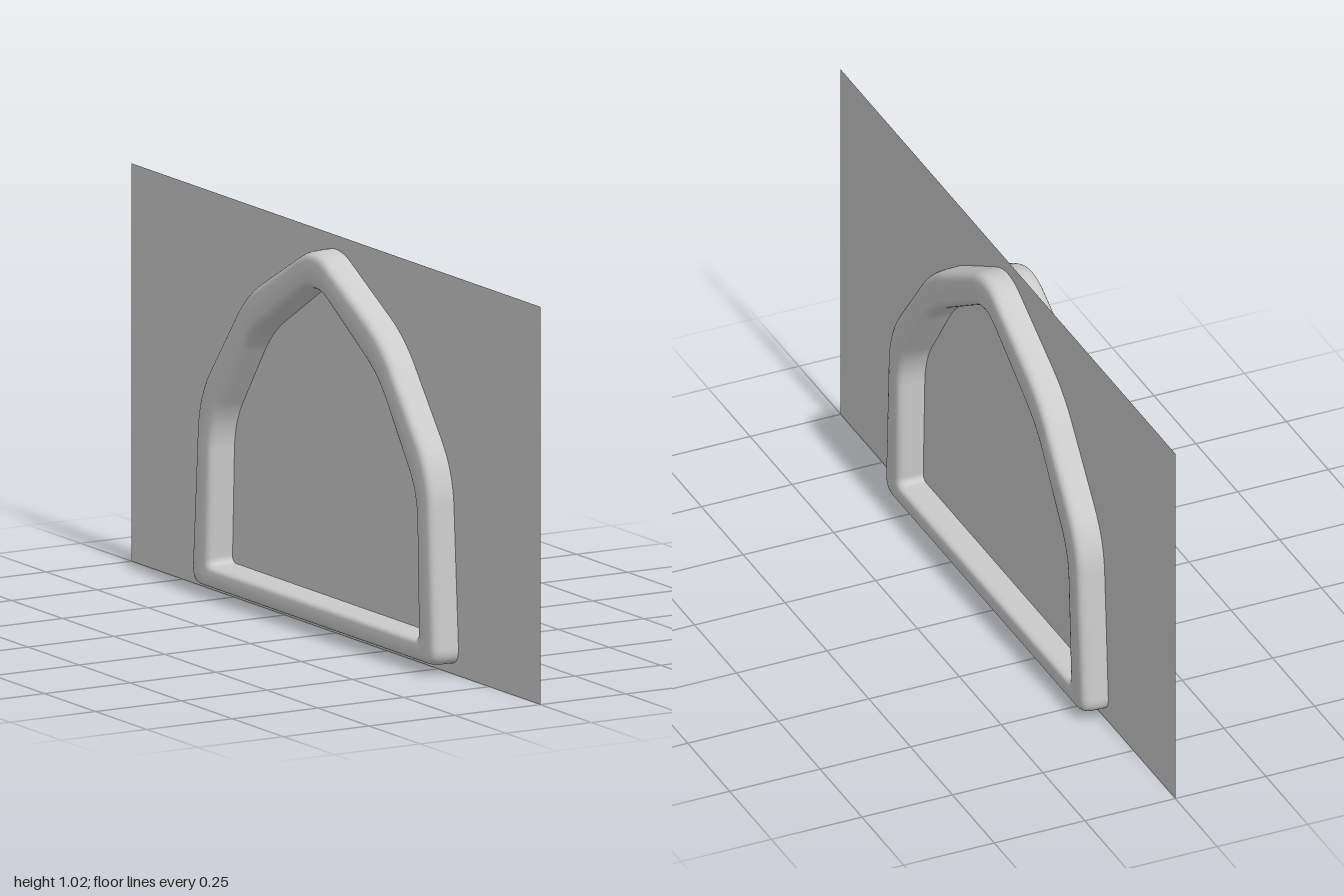
import * as THREE from 'three';

// Half outline corners as [z, y, rounding], from the bottom corner to the peak
const OUTER = [[0.602, 0.026, 0.045], [0.572, 0.52, 0.09], [0.335, 0.82, 0.08], [0, 1.003, 0.08]];
const INNER = [[0.507, 0.088, 0.02], [0.495, 0.45, 0.07], [0.31, 0.715, 0.07], [0, 0.906, 0.08]];
const ARC = 8; // steps per rounded corner
const SECTION = 32; // points around the bar
const HALF_DEPTH = 0.07;

// Mirror the half outline and round every corner with a quadratic curve
function roundedLoop(half) {
  const corners = [...half, ...half.slice(0, -1).reverse().map(([z, y, r]) => [-z, y, r])];
  const at = (i) => new THREE.Vector2(...corners[(i + corners.length) % corners.length].slice(0, 2));
  return corners.flatMap(([, , r], i) => {
    const p = at(i);
    const towards = (q) => q.sub(p).setLength(r).add(p);
    return new THREE.QuadraticBezierCurve(towards(at(i - 1)), p, towards(at(i + 1))).getPoints(ARC);
  });
}

// Sweep a soft rectangular section between the inner and outer loops
function frameGeometry() {
  const outer = roundedLoop(OUTER);
  const inner = roundedLoop(INNER);
  const n = outer.length;
  const soft = (v) => Math.sign(v) * Math.pow(Math.abs(v), 0.44);
  const positions = [];
  const indices = [];
  for (let i = 0; i < n; i++) {
    for (let j = 0; j < SECTION; j++) {
      const a = (j / SECTION) * Math.PI * 2;
      const p = inner[i].clone().lerp(outer[i], (1 + soft(Math.cos(a))) / 2);
      // slight sideways bow at mid height
      const bow = 0.003 * Math.sin(p.y * Math.PI) - 0.002;
      positions.push(HALF_DEPTH * soft(Math.sin(a)) + bow, p.y, p.x);
      const i2 = (i + 1) % n;
      const j2 = (j + 1) % SECTION;
      const A = i * SECTION + j, B = i * SECTION + j2;
      const C = i2 * SECTION + j2, D = i2 * SECTION + j;
      indices.push(A, B, D, B, C, D);
    }
  }
  const geometry = new THREE.BufferGeometry();
  geometry.setAttribute('position', new THREE.Float32BufferAttribute(positions, 3));
  geometry.setIndex(indices);
  geometry.computeVertexNormals();
  return geometry;
}

export function createModel() {
  const group = new THREE.Group();
  group.name = 'windowFrameOnPanel';

  // Arched frame, standing out on both sides of the panel
  const frame = new THREE.Mesh(frameGeometry(), new THREE.MeshStandardMaterial({ color: 0xcccccc }));
  frame.name = 'frame';
  group.add(frame);

  // Thin upright panel through the middle of the frame
  const panel = new THREE.Mesh(
    new THREE.PlaneGeometry(2, 1.02),
    new THREE.MeshStandardMaterial({ color: 0xcccccc, side: THREE.DoubleSide })
  );
  panel.name = 'panel';
  panel.rotation.y = Math.PI / 2;
  panel.position.y = 0.51;
  group.add(panel);

  return group;
}
